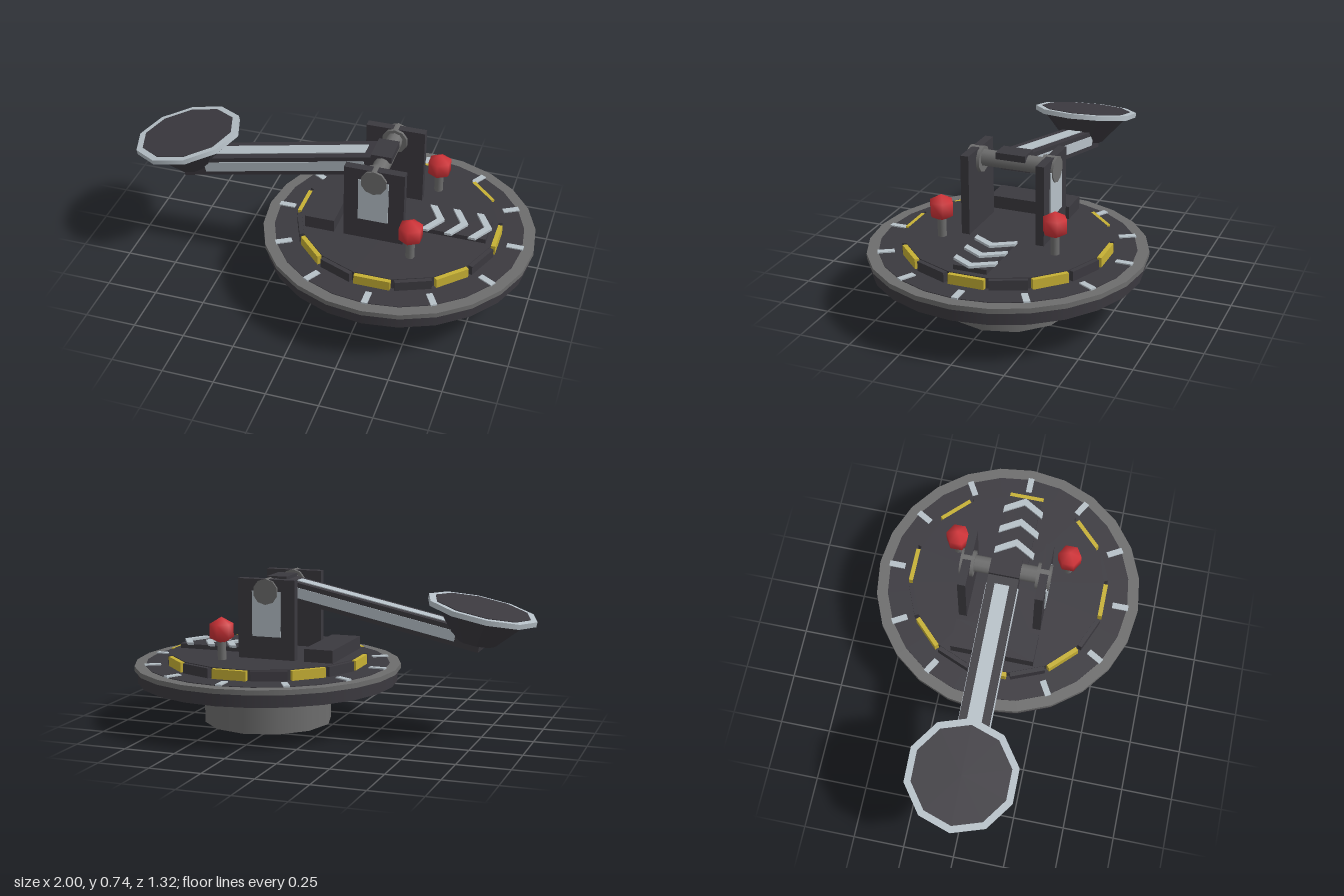
import * as THREE from 'three';

export function createModel() {
  const mat = (name, color, flatShading = false) => {
    const m = new THREE.MeshStandardMaterial({ color, flatShading });
    m.name = name;
    return m;
  };
  const dark = mat('charcoal', 0x3b393f);
  const grey = mat('grey', 0x6d6d6d);
  const light = mat('paleSteel', 0xb6c0c7);
  const yellow = mat('yellow', 0xc6b034);
  const red = mat('red', 0xd03338);

  const model = new THREE.Group();
  const add = (parent, name, geo, material, x = 0, y = 0, z = 0) => {
    const m = new THREE.Mesh(geo, material);
    m.name = name;
    m.position.set(x, y, z);
    parent.add(m);
    return m;
  };
  const box = (w, h, d) => new THREE.BoxGeometry(w, h, d);
  const cyl = (rt, rb, h, n, turn = 0) => new THREE.CylinderGeometry(rt, rb, h, n).rotateY(turn);
  const group = (name, x, y, z) => {
    const g = new THREE.Group();
    g.name = name;
    g.position.set(x, y, z);
    model.add(g);
    return g;
  };

  // Round base, centred on its own axis
  const base = group('base', 0.34, 0, 0);
  add(base, 'pedestal', cyl(0.318, 0.318, 0.212, 12), grey, 0, 0.106);
  add(base, 'turntable', cyl(0.645, 0.645, 0.065, 24), dark, 0, 0.2425);
  add(base, 'turntableRim', cyl(0.66, 0.66, 0.024, 24), grey, 0, 0.283);
  add(base, 'turntableTop', cyl(0.605, 0.605, 0.006, 24), dark, 0, 0.295);
  add(base, 'platform', cyl(0.477, 0.477, 0.054, 16, Math.PI / 16), dark, 0, 0.323);

  // Tick marks around the turntable
  for (let i = 0; i < 12; i++) {
    const a = (i * Math.PI) / 6;
    const tick = add(base, 'tick', box(0.08, 0.008, 0.03), light, Math.cos(a) * 0.57, 0.3, -Math.sin(a) * 0.57);
    tick.rotation.y = a;
  }

  // Alternating yellow and dark blocks around the platform
  for (let i = 0; i < 16; i++) {
    const a = (i * Math.PI) / 8;
    const block = add(base, 'edgeBlock', box(0.025, 0.047, 0.172), i % 2 ? dark : yellow,
      Math.cos(a) * 0.477, 0.323, -Math.sin(a) * 0.477);
    block.rotation.y = a;
  }

  // Rest block under the arm
  add(model, 'armRest', box(0.145, 0.065, 0.41), dark, 0, 0.38, 0);

  // Arrow panel with three chevrons
  add(model, 'arrowPanel', box(0.34, 0.025, 0.16), dark, 0.61, 0.36, 0);
  const chevron = new THREE.Shape([
    [0, 0.1], [0.035, 0.1], [0.095, 0], [0.035, -0.1], [0, -0.1], [0.058, 0],
  ].map(([x, y]) => new THREE.Vector2(x, y)));
  const chevronGeo = new THREE.ExtrudeGeometry(chevron, { depth: 0.012, bevelEnabled: false }).rotateX(-Math.PI / 2);
  for (let i = 0; i < 3; i++) add(model, 'chevron', chevronGeo, light, 0.468 + i * 0.115, 0.372, 0);

  // Mirrored supports and control knobs
  for (const s of [1, -1]) {
    add(model, 'supportWall', box(0.29, 0.39, 0.04), dark, 0.265, 0.542, s * 0.185);
    add(model, 'supportPlate', box(0.145, 0.22, 0.008), light, 0.263, 0.57, s * 0.207);
    add(model, 'pivotHub', cyl(0.063, 0.063, 0.068, 10).rotateX(Math.PI / 2), grey, 0.265, 0.678, s * 0.183);
    add(model, 'knobStem', cyl(0.022, 0.022, 0.1, 8), grey, 0.465, 0.395, s * 0.28);
    add(model, 'knob', new THREE.SphereGeometry(0.067, 6, 3).rotateY(Math.PI / 6), red, 0.465, 0.491, s * 0.28);
  }
  add(model, 'axle', cyl(0.04, 0.04, 0.3, 10).rotateX(Math.PI / 2), grey, 0.265, 0.686, 0);
  add(model, 'axleClamp', box(0.1, 0.032, 0.146), dark, 0.26, 0.719, 0);

  // Sloping arm with inlaid strips
  const tilt = 0.208;
  const arm = group('arm', -0.22, 0.58, 0);
  arm.rotation.z = tilt;
  add(arm, 'armBeam', box(1.01, 0.095, 0.146), dark, -0.037, 0, 0);
  add(arm, 'topStrip', box(0.83, 0.006, 0.07), light, -0.005, 0.0485, 0);
  for (const s of [1, -1]) add(arm, 'sideStrip', box(0.83, 0.05, 0.006), light, -0.005, 0, s * 0.074);

  // Ten-sided cup at the end of the arm
  const cup = group('cup', -0.742, 0.62, 0);
  cup.rotation.z = tilt;
  const turn = Math.PI / 2;
  const bowlGeo = cyl(0.225, 0.1, 0.145, 10, turn).toNonIndexed();
  bowlGeo.computeVertexNormals();
  add(cup, 'cupBowl', bowlGeo, dark, 0, -0.09, 0);
  add(cup, 'cupRim', cyl(0.265, 0.265, 0.024, 10, turn), light, 0, -0.008, 0);
  add(cup, 'cupFloor', cyl(0.232, 0.232, 0.006, 10, turn), dark, 0, 0.004, 0);

  return model;
}
